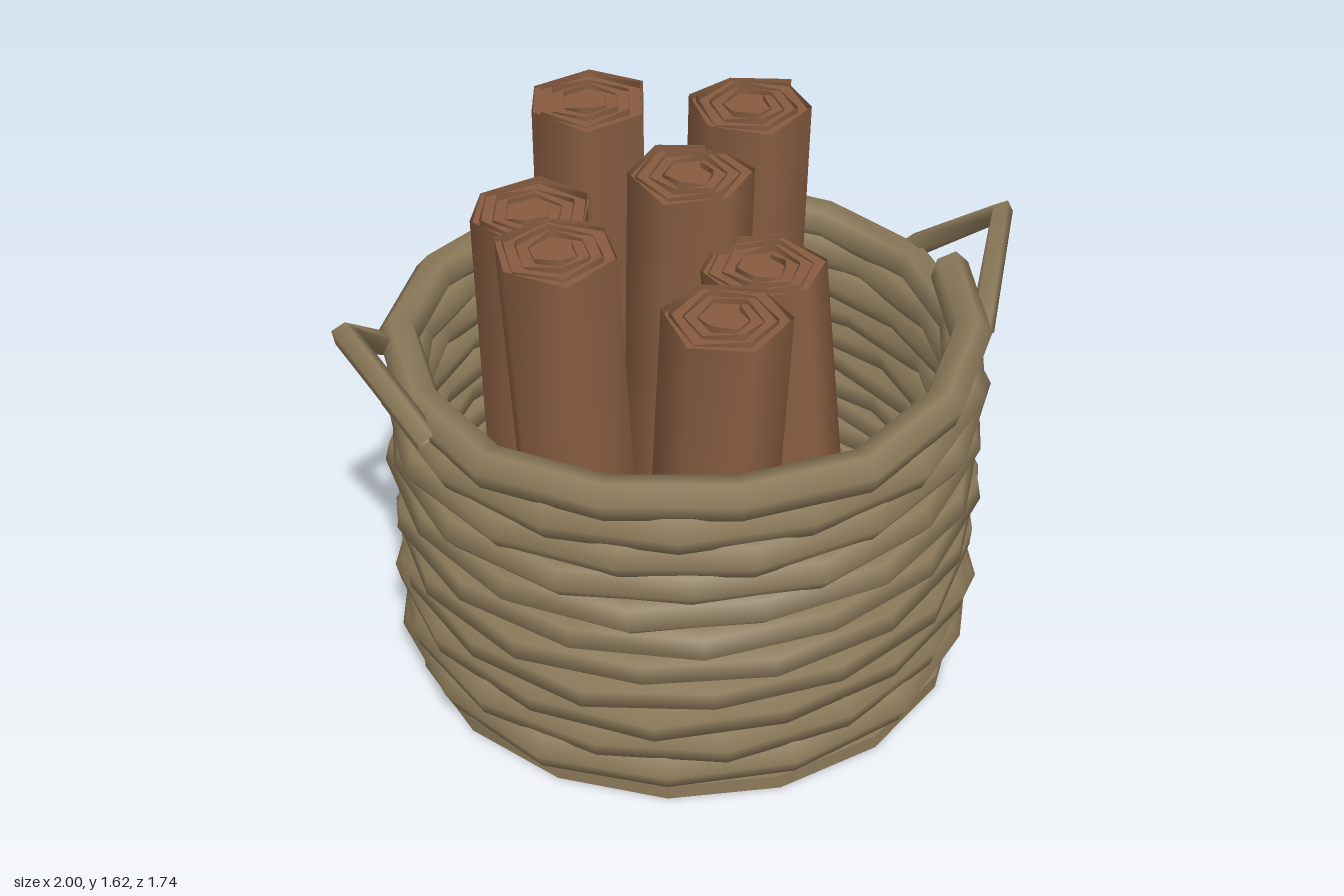
import * as THREE from 'three';

const wicker = new THREE.MeshStandardMaterial({ color: 0x8c7a5a, side: THREE.DoubleSide });
wicker.name = 'wicker';
const bark = new THREE.MeshStandardMaterial({ color: 0x875c40, side: THREE.DoubleSide });
bark.name = 'bark brown';

function add(parent, name, geometry, material) {
  const mesh = new THREE.Mesh(geometry, material);
  mesh.name = name;
  parent.add(mesh);
  return mesh;
}

// One long strand coiling upward, starting and ending on the +x side
class Coil extends THREE.Curve {
  constructor(turns, y0, y1) {
    super();
    Object.assign(this, { turns, y0, y1, arcLengthDivisions: 2000 });
  }
  getPoint(t, target = new THREE.Vector3()) {
    const a = t * this.turns * Math.PI * 2;
    const r = 0.805 + 0.008 * Math.sin(a * 5.3);
    const y = this.y0 + (this.y1 - this.y0) * t + 0.007 * Math.sin(a * 4.05);
    return target.set(r * Math.cos(a), y, -r * Math.sin(a));
  }
}

// A sheet wound into a spiral, leaning from its base towards its top
function scroll({ x, z, h, dx, dz, turn }) {
  const group = new THREE.Group();
  const sides = 6, winds = 4, n = sides * winds, R = 0.178;
  const place = (p, i, px, py, pz) => {
    const k = 1 - py / h;
    p.setXYZ(i, x + dx * k + px, py + 0.02, z + dz * k + pz);
  };
  const sheet = new THREE.PlaneGeometry(1, 1, n, 1);
  const p = sheet.attributes.position;
  for (let i = 0; i < p.count; i++) {
    const step = i % (n + 1), top = i <= n;
    const a = turn + step / sides * Math.PI * 2;
    const r = R * (1 - 0.85 * Math.max(0, step - sides + 1) / n) - 0.004 * Math.min(step, sides) / sides;
    const ripple = top ? 0.01 * Math.sin(step * 2.3 + turn * 5) : 0;
    place(p, i, r * Math.cos(a), (top ? h - 0.03 : 0) + ripple, -r * Math.sin(a));
  }
  sheet.computeVertexNormals();
  add(group, 'woundSheet', sheet, bark);

  // Filled end just below the rippled rim
  const end = new THREE.CircleGeometry(R * 0.98, sides, turn).rotateX(-Math.PI / 2);
  const e = end.attributes.position;
  for (let i = 0; i < e.count; i++) place(e, i, e.getX(i), h - 0.043, e.getZ(i));
  add(group, 'scrollEnd', end, bark);
  return group;
}

// Bent carrying loop over the rim; side is +1 for left, -1 for right
function handle(side) {
  const points = [[0.81, 1.01, -0.24], [0.965, 1.235, 0], [0.81, 1.01, 0.24]]
    .map(([x, y, z]) => new THREE.Vector3(side * x, y, z));
  const path = new THREE.CurvePath();
  path.add(new THREE.LineCurve3(points[0], points[1]));
  path.add(new THREE.LineCurve3(points[1], points[2]));
  return new THREE.TubeGeometry(path, 2, 0.037, 5, false);
}

export function createModel() {
  const model = new THREE.Group();
  model.name = 'basketOfScrolls';

  // Basket
  const basket = new THREE.Group();
  basket.name = 'basket';
  model.add(basket);
  add(basket, 'floor', new THREE.CylinderGeometry(0.82, 0.82, 0.045, 16).translate(0, 0.0275, 0), wicker);
  add(basket, 'coiledWall', new THREE.TubeGeometry(new Coil(11, 0.055, 1.07), 160, 0.06, 6, false), wicker);
  add(basket, 'leftHandle', handle(1), wicker);
  add(basket, 'rightHandle', handle(-1), wicker);

  // Scrolls: top centre, height, offset of the base and twist
  const scrolls = [
    [-0.16, -0.37, 1.62, 0, 0, 0.2],
    [0.28, -0.25, 1.59, -0.03, -0.02, 0.5],
    [0.04, -0.06, 1.52, -0.05, 0.04, 0.8],
    [-0.40, -0.14, 1.44, 0.02, 0.02, 0.1],
    [-0.40, 0.10, 1.455, 0.06, 0.05, 0.4],
    [0.15, 0.21, 1.36, 0.09, 0.12, 0.9],
    [-0.03, 0.43, 1.37, -0.06, -0.03, 0.6],
  ];
  scrolls.forEach(([x, z, h, dx, dz, turn], i) => {
    const roll = scroll({ x, z, h, dx, dz, turn });
    roll.name = `scroll${i + 1}`;
    model.add(roll);
  });
  return model;
}
